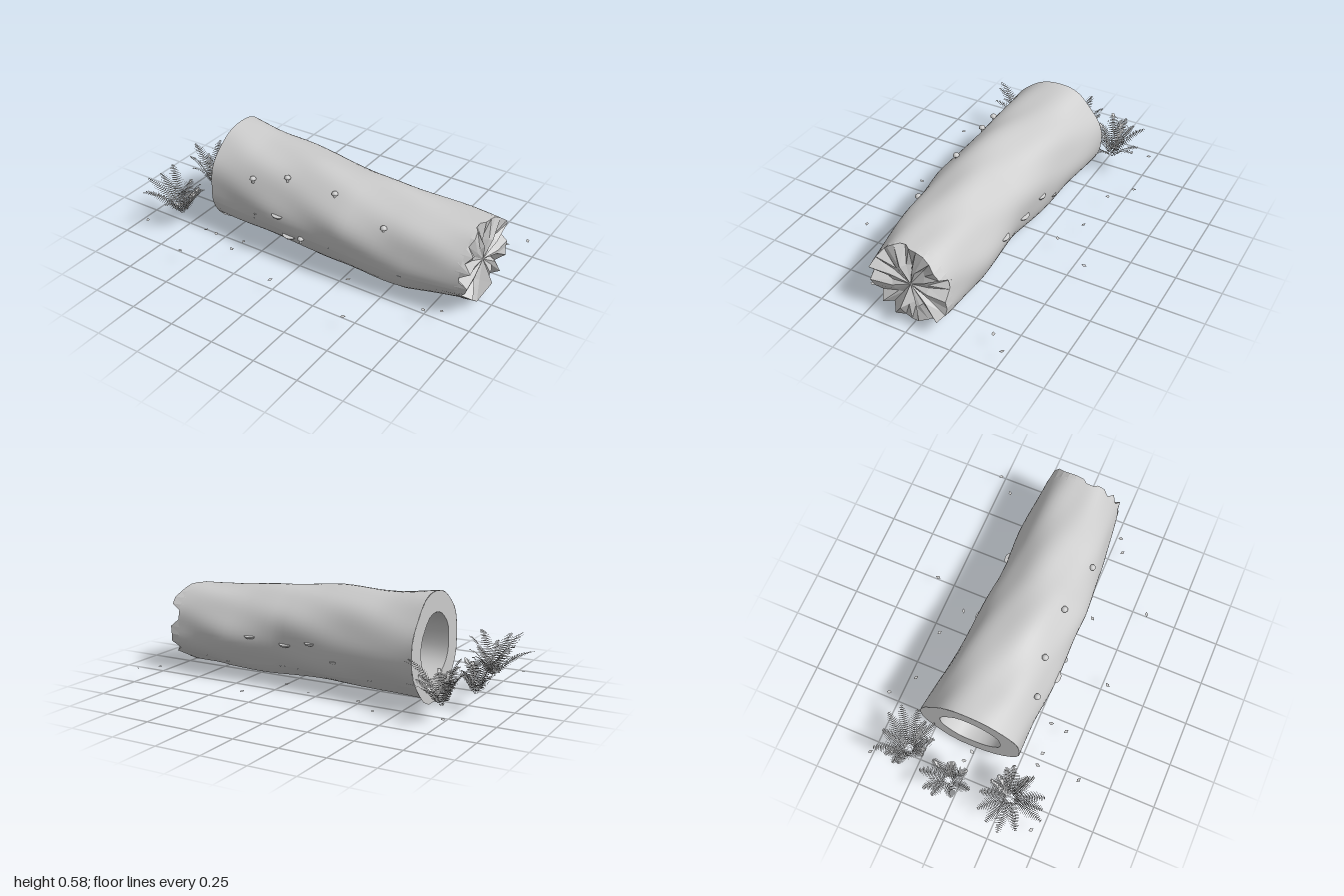
import * as THREE from 'three';

const grey = new THREE.MeshStandardMaterial({ color: 0xcccccc, side: THREE.DoubleSide });
grey.name = 'paleGrey';

let seed = 11;
const rand = () => (seed = (seed * 16807) % 2147483647) / 2147483647;
const jitter = (c, d) => c + (rand() * 2 - 1) * d;
const rad = THREE.MathUtils.degToRad;
const lerp = THREE.MathUtils.lerp;

function piecewise(points, x) {
  for (let i = 1; i < points.length; i++) {
    const [x0, v0] = points[i - 1], [x1, v1] = points[i];
    if (x <= x1) return lerp(v0, v1, THREE.MathUtils.clamp((x - x0) / (x1 - x0), 0, 1));
  }
  return points[points.length - 1][1];
}

// Trunk: top line, radius and sideways drift along x
const X0 = -0.572, X1 = 0.91;
const TOP = [[-0.57, 0.582], [-0.35, 0.558], [0, 0.545], [0.25, 0.528], [0.5, 0.506], [0.95, 0.48]];
const RADIUS = [[-0.57, 0.281], [-0.3, 0.27], [0, 0.263], [0.25, 0.256], [0.6, 0.25], [0.95, 0.217]];
const DRIFT = [[-0.57, -0.022], [-0.3, -0.004], [0, 0.014], [0.25, 0.03], [0.6, 0.015], [0.95, -0.002]];

// Angle runs from the top, positive toward the front
function trunkPoint(x, a, scale = 1) {
  const r = piecewise(RADIUS, x);
  const bump = 0.004 * Math.sin(5 * a + 6 * x) + 0.003 * Math.sin(3 * a - 12 * x + 1)
    + 0.0025 * Math.sin(8 * a - 9 * x);
  const R = (r + bump) * scale;
  return new THREE.Vector3(x, piecewise(TOP, x) - r + R * Math.cos(a),
    piecewise(DRIFT, x) + R * Math.sin(a));
}

// Angle at which the bark reaches the level of its open underside
function undersideAngle(x) {
  const r = piecewise(RADIUS, x);
  return Math.PI - Math.acos(Math.min(0.98, (piecewise(TOP, x) - r - 0.058) / r));
}

// Surface from a rule over a grid of u and v
function sheet(fn, nu, nv, faceted = false) {
  const pos = [], idx = [];
  for (let i = 0; i <= nu; i++)
    for (let j = 0; j <= nv; j++) pos.push(...fn(i / nu, j / nv).toArray());
  for (let i = 0; i < nu; i++)
    for (let j = 0; j < nv; j++) {
      const a = i * (nv + 1) + j, b = a + nv + 1;
      idx.push(a, a + 1, b, b, a + 1, b + 1);
    }
  let g = new THREE.BufferGeometry();
  g.setAttribute('position', new THREE.Float32BufferAttribute(pos, 3));
  g.setIndex(idx);
  if (faceted) g = g.toNonIndexed();
  g.computeVertexNormals();
  return g;
}

function triangles(pos) {
  const g = new THREE.BufferGeometry();
  g.setAttribute('position', new THREE.Float32BufferAttribute(pos, 3));
  g.computeVertexNormals();
  return g;
}

function add(parent, name, geometry) {
  const m = new THREE.Mesh(geometry, grey);
  m.name = name;
  parent.add(m);
  return m;
}

function buildLog(root) {
  const log = new THREE.Group();
  log.name = 'log';
  root.add(log);
  const frontSeam = rad(107), backSeam = rad(128);

  // Upper bark, smooth and lumpy
  add(log, 'upperBark', sheet((u, v) =>
    trunkPoint(lerp(X0, X1, u), lerp(-backSeam, frontSeam, v)), 36, 44));

  // Lower bark on each side, leaving an open slit along the underside
  for (const [name, s, seam] of [['frontLowerBark', 1, frontSeam], ['backLowerBark', -1, backSeam]])
    add(log, name, sheet((u, v) => {
      const x = lerp(X0, X1, u);
      return trunkPoint(x, s * lerp(seam, undersideAngle(x), v), 1 - 0.015 * v);
    }, 24, 4));

  // Hollow core
  add(log, 'hollowCore', sheet((u, v) =>
    trunkPoint(lerp(X0, 0.9, u), v * Math.PI * 2, 0.61), 16, 28));

  // Cut ring at the open end, sagging to the ground
  add(log, 'endRing', sheet((u, v) => {
    const a = v * Math.PI * 2;
    const sag = 0.08 * Math.max(0, -Math.cos(a)) ** 6;
    const p = trunkPoint(X0, a, u ? 1 + sag : 0.61);
    p.y = Math.max(p.y, 0);
    return p;
  }, 1, 28, true));

  // Splintered broken end
  const n = 32, mid = [], rim = [], edge = [];
  const hub = new THREE.Vector3(0.93, 0.262, 0);
  for (let i = 0; i < n; i++) {
    const a = i / n * Math.PI * 2;
    const m = trunkPoint(0.94, a, 0.5), r = trunkPoint(0.94, a);
    m.x = jitter(0.935, 0.025);
    r.x = jitter(0.935, 0.045);
    mid.push(m);
    rim.push(r);
    edge.push(trunkPoint(0.89, a));
  }
  mid[15].x = 1;
  const pos = [], tri = (...p) => p.forEach(q => pos.push(...q.toArray()));
  for (let i = 0; i < n; i++) {
    const k = (i + 1) % n;
    tri(hub, mid[k], mid[i]);
    tri(mid[i], mid[k], rim[i]);
    tri(mid[k], rim[k], rim[i]);
    tri(rim[i], rim[k], edge[i]);
    tri(rim[k], edge[k], edge[i]);
  }
  add(log, 'splinteredEnd', triangles(pos));
}

// Fern: fronds with pairs of narrow leaflets, longest toward the lean angle
function buildFern(root, name, x, z, reach, count, lean) {
  const pos = [];
  for (let f = 0; f < count; f++) {
    const a = lean + f / count * Math.PI * 2 + jitter(0, 0.2);
    const len = reach * jitter(0.9, 0.15) * (1 + 0.3 * Math.cos(a - lean));
    const high = jitter(0.165, 0.07);
    const dir = new THREE.Vector3(Math.cos(a), 0, Math.sin(a));
    const side = new THREE.Vector3(-dir.z, 0, dir.x);
    const at = (d, h) => new THREE.Vector3(x, 0.09 + h, z).addScaledVector(dir, d);
    const curve = new THREE.QuadraticBezierCurve3(at(0.01, 0), at(len * 0.45, high * 0.85), at(len, high));
    const steps = 22;
    for (let i = 0; i < steps; i++) {
      const t = i / steps, p = curve.getPoint(t), q = curve.getPoint(t + 1 / steps);
      const fwd = q.clone().sub(p).normalize();
      const w = p.clone().addScaledVector(side, 0.003);
      pos.push(...p.toArray(), ...w.toArray(), ...q.toArray());
      if (i < 2) continue;
      const leaf = 0.042 * Math.sin(Math.PI * (0.2 + 0.75 * t));
      const heel = p.clone().addScaledVector(fwd, 0.0065);
      for (const s of [-1, 1]) {
        const tip = p.clone().addScaledVector(side, s * leaf).addScaledVector(fwd, leaf * 0.4);
        tip.y -= leaf * 0.15;
        pos.push(...p.toArray(), ...heel.toArray(), ...tip.toArray());
      }
    }
  }
  add(root, name, triangles(pos));
}

export function createModel() {
  const root = new THREE.Group();
  root.name = 'fallenLog';
  buildLog(root);

  buildFern(root, 'backFern', -0.74, -0.31, 0.165, 14, -0.7);
  buildFern(root, 'middleFern', -0.81, -0.05, 0.13, 9, 3.14);
  buildFern(root, 'frontFern', -0.77, 0.285, 0.185, 14, 2.6);

  // Small capped mushrooms on the front face
  const cap = new THREE.SphereGeometry(0.018, 8, 4, 0, Math.PI * 2, 0, Math.PI / 2);
  const stem = new THREE.CylinderGeometry(0.006, 0.007, 0.025, 8);
  for (const [x, y, z] of [[-0.3, 0.435, 0.238], [-0.105, 0.485, 0.198], [0.18, 0.48, 0.19],
    [0.49, 0.405, 0.228], [0.02, 0.19, 0.268]]) {
    const m = new THREE.Group();
    m.name = 'mushroom';
    m.position.set(x, y, z);
    add(m, 'mushroomCap', cap);
    add(m, 'mushroomStem', stem).position.y = -0.01;
    root.add(m);
  }

  // Bracket fungi on both flanks, tipped down toward their outer edge
  const bracket = new THREE.CylinderGeometry(0.035, 0.028, 0.012, 14);
  for (const [x, y, s, k] of [[-0.12, 0.29, 1, 1], [-0.27, 0.24, 1, 0.4], [-0.07, 0.165, 1, 1.2],
    [0.42, 0.27, -1, 1], [0.2, 0.25, -1, 1.1], [0.04, 0.28, -1, 0.9], [-0.1, 0.2, -1, 0.6]]) {
    const c = piecewise(TOP, x) - piecewise(RADIUS, x);
    const p = trunkPoint(x, s * Math.acos((y - c) / piecewise(RADIUS, x)));
    const m = add(root, 'bracketFungus', bracket);
    m.position.set(x, y, p.z - s * 0.006);
    m.rotation.x = s * 0.2;
    m.scale.set(k, 1, k * 0.7);
  }

  // Fallen leaves on the ground
  const leaf = new THREE.CircleGeometry(0.015, 4).rotateX(-Math.PI / 2);
  for (const [x, z] of [[-0.83, -0.5], [-0.49, -0.55], [-0.36, -0.45], [-0.07, -0.44], [0.1, -0.37],
    [0.23, -0.585], [0.96, -0.51], [0.88, -0.42], [-0.68, -0.02], [-0.62, 0], [-0.55, 0.35],
    [-0.48, 0.35], [-0.31, 0.33], [-0.32, 0.42], [0.01, 0.53], [-0.54, 0.58], [0.48, 0.58],
    [0.34, 0.31], [0.78, 0.32], [0.86, 0.28], [-0.88, 0.45]]) {
    const m = add(root, 'fallenLeaf', leaf);
    m.position.set(x, 0.09, z);
    m.rotation.set(jitter(0, 0.2), rand() * 3, 0);
    m.scale.z = 0.65;
  }
  return root;
}
